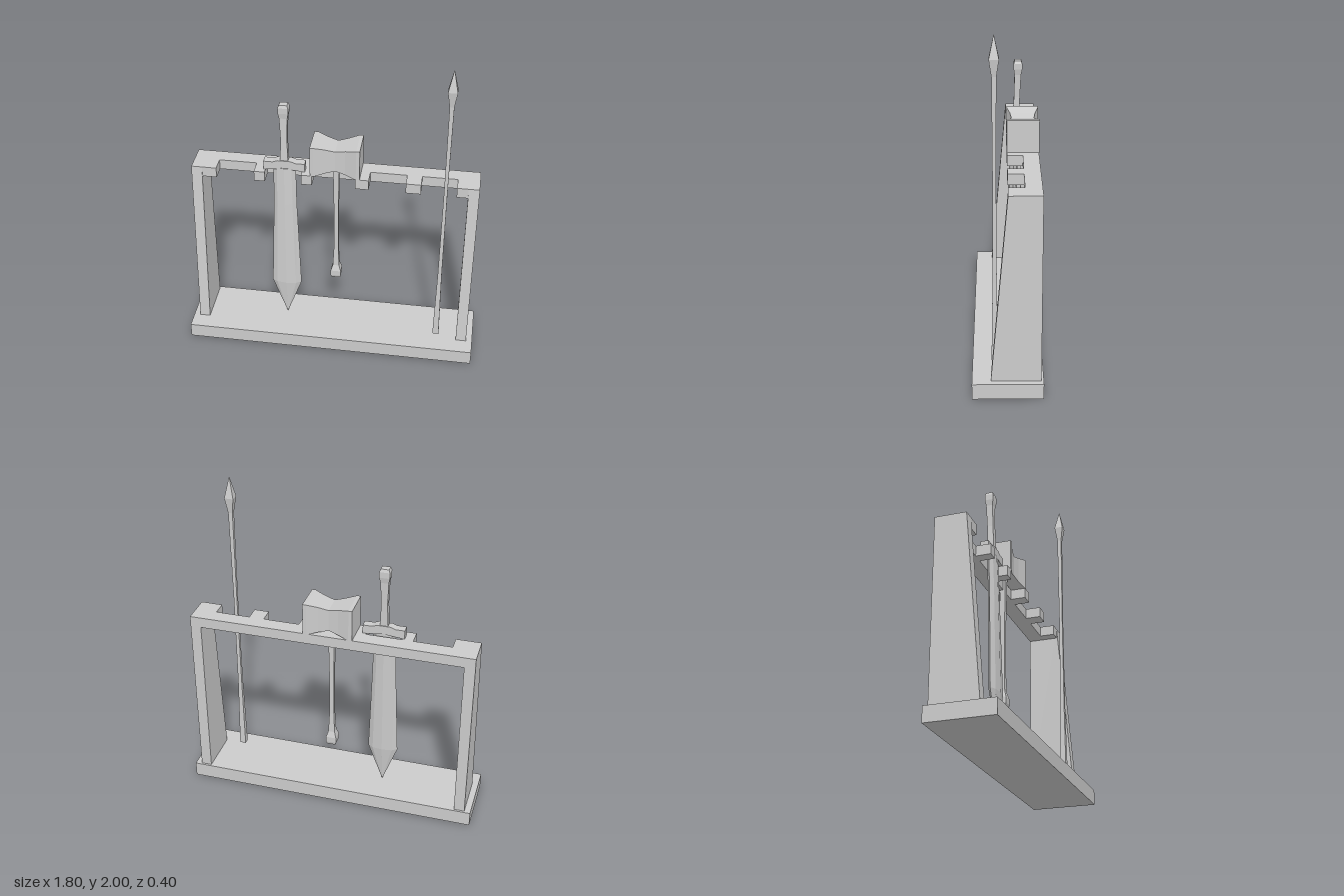
import * as THREE from 'three';

const material = new THREE.MeshStandardMaterial({ color: 0xcccccc, flatShading: true });

const SQUARE = [[1, 1], [1, -1], [-1, -1], [-1, 1]];
const LENS = [[1, 0], [0.65, -0.7], [0, -1], [-0.65, -0.7], [-1, 0], [-0.65, 0.7], [0, 1], [0.65, 0.7]];

function part(name, geometry, parent) {
  const mesh = new THREE.Mesh(geometry, material);
  mesh.name = name;
  parent.add(mesh);
  return mesh;
}

function group(name, parent, x = 0, z = 0) {
  const g = new THREE.Group();
  g.name = name;
  g.position.set(x, 0, z);
  parent.add(g);
  return g;
}

// Stacks a profile along y; each row is [y, halfX, halfZ, centreZ]
function loft(profile, rows) {
  const n = profile.length;
  const pos = [];
  const index = [];
  for (const [y, hx, hz, cz = 0] of rows) {
    for (const [px, pz] of profile) pos.push(px * hx, y, cz + pz * hz);
  }
  for (let i = 0; i < rows.length - 1; i++) {
    for (let j = 0; j < n; j++) {
      const a = i * n + j, b = i * n + (j + 1) % n;
      index.push(a, b, b + n, a, b + n, a + n);
    }
  }
  const top = (rows.length - 1) * n;
  for (let j = 1; j < n - 1; j++) {
    index.push(0, j + 1, j, top, top + j, top + j + 1);
  }
  const g = new THREE.BufferGeometry();
  g.setAttribute('position', new THREE.Float32BufferAttribute(pos, 3));
  g.setIndex(index);
  const flat = g.toNonIndexed();
  flat.computeVertexNormals();
  return flat;
}

function extrude(points, depth) {
  const shape = new THREE.Shape(points.map(([x, y]) => new THREE.Vector2(x, y)));
  return new THREE.ExtrudeGeometry(shape, { depth, bevelEnabled: false });
}

export function createModel() {
  const model = new THREE.Group();
  model.name = 'weaponRack';

  // Stand: base slab and two tapered side panels
  const stand = group('stand', model);
  part('base', new THREE.BoxGeometry(1.8, 0.092, 0.4).translate(0, 0.046, 0), stand);
  const side = [[-0.187, 0.092], [0.095, 0.092], [0, 1.19], [-0.187, 1.19]];
  for (const [name, x] of [['leftPanel', 0.862], ['rightPanel', -0.797]]) {
    part(name, extrude(side, 0.065).rotateY(-Math.PI / 2).translate(x, 0, 0), stand);
  }

  // Top rail with five notches in its front edge
  const notches = [[-0.71, -0.48], [-0.415, -0.195], [-0.13, 0.13], [0.21, 0.43], [0.52, 0.73]];
  const outline = [[-0.797, 0.187], [-0.797, 0]];
  for (const [a, b] of notches) outline.push([a, 0], [a, 0.092], [b, 0.092], [b, 0]);
  outline.push([0.797, 0], [0.797, 0.187]);
  part('notchedRail', extrude(outline, 0.065).rotateX(-Math.PI / 2).translate(0, 1.125, 0), stand);

  // Sword, leaning slightly so its tip comes forward
  const sword = group('sword', model, -0.302);
  part('blade', loft(LENS, [
    [0.1, 0.001, 0.001, -0.02], [0.35, 0.093, 0.029, -0.027],
    [0.95, 0.071, 0.027, -0.045], [1.205, 0.068, 0.025, -0.055],
  ]), sword);
  const guard = [
    [-0.125, 1.19], [-0.07, 1.195], [0, 1.203], [0.07, 1.195], [0.125, 1.19],
    [0.125, 1.245], [0.07, 1.245], [0.04, 1.256], [-0.04, 1.256], [-0.07, 1.245], [-0.125, 1.245],
  ];
  part('guard', extrude(guard, 0.05).translate(0, 0, -0.085), sword);
  part('grip', loft(SQUARE, [
    [1.24, 0.024, 0.02, -0.06], [1.4, 0.019, 0.018, -0.066], [1.54, 0.024, 0.02, -0.071],
    [1.575, 0.031, 0.026, -0.072], [1.61, 0.031, 0.026, -0.072], [1.628, 0.024, 0.02, -0.072],
  ]), sword);

  // War hammer hanging head up
  const hammer = group('hammer', model, 0.005, -0.097);
  const head = part('hammerHead', loft(SQUARE, [
    [-0.148, 0.099, 0.095], [-0.126, 0.099, 0.095], [-0.06, 0.082, 0.075], [0, 0.067, 0.066],
    [0.06, 0.082, 0.075], [0.126, 0.099, 0.095], [0.148, 0.099, 0.095],
  ]), hammer);
  head.rotation.z = -Math.PI / 2;
  head.position.set(0.002, 1.286, 0.002);
  part('hammerHandle', loft(SQUARE, [
    [0.378, 0.027, 0.027], [0.395, 0.032, 0.032], [0.43, 0.032, 0.032], [0.468, 0.02, 0.02],
    [0.6, 0.014, 0.014], [0.9, 0.014, 0.014], [1.24, 0.019, 0.019],
  ]), hammer);

  // Spear standing in front of the rail
  const spear = group('spear', model, 0.667, 0.072);
  part('spearShaft', loft(SQUARE, [
    [0.125, 0.019, 0.019], [0.2, 0.018, 0.018], [0.6, 0.012, 0.012],
    [1.2, 0.01, 0.01], [1.79, 0.013, 0.013],
  ]), spear);
  part('spearHead', loft(SQUARE, [
    [1.78, 0.013, 0.013], [1.875, 0.027, 0.027], [2, 0.001, 0.001],
  ]), spear);

  return model;
}
